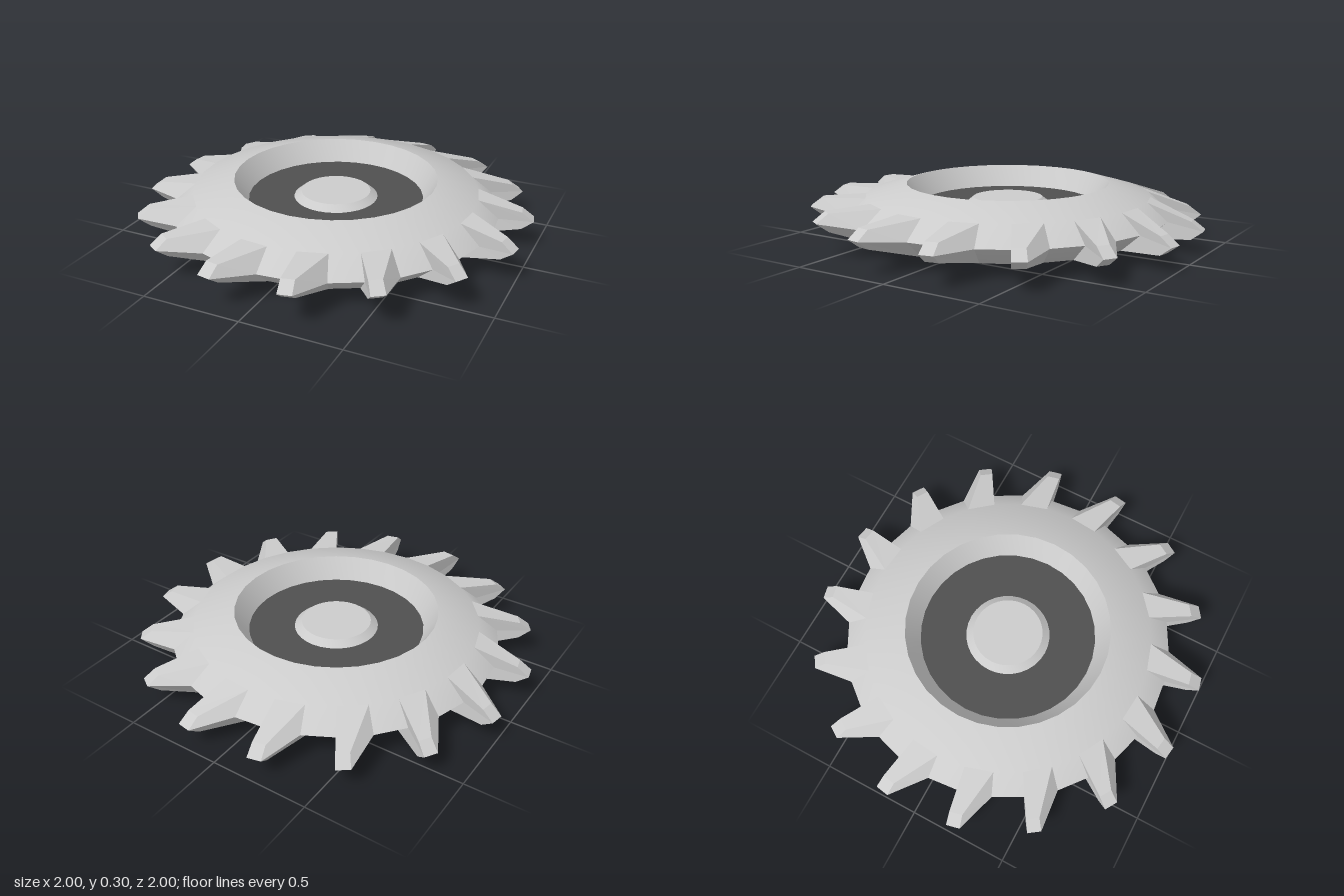
import * as THREE from 'three';
import { toCreasedNormals } from 'three/addons/utils/BufferGeometryUtils.js';

const SEGMENTS = 32;
const STEP = (Math.PI * 2) / SEGMENTS;
const MID = 0.15; // height of the middle plane

const polar = (radius, angle, y) => [radius * Math.cos(angle), y, -radius * Math.sin(angle)];

function lathe(name, profile, material) {
  const points = profile.map(([r, y]) => new THREE.Vector2(r, y));
  const geometry = toCreasedNormals(new THREE.LatheGeometry(points, SEGMENTS), 0.5);
  const mesh = new THREE.Mesh(geometry, material);
  mesh.name = name;
  return mesh;
}

// One tooth: a triangular root on the rim, lofted to a smaller tip that leans sideways
function toothGeometry(start) {
  const deg = Math.PI / 180;
  const lo = start - 0.5 * deg;
  const hi = start + 3.4 * deg;
  // The ring of tips is tilted slightly, higher at the front
  const tipY = MID + 0.03 * -Math.sin(start) + 0.012 * Math.cos(start);
  const root = (a) => [polar(0.73, a, 0.24), polar(0.835, a, MID), polar(0.73, a, 0.06)];
  const tip = (a) => [polar(0.95, a, tipY + 0.045), polar(1.01, a, tipY), polar(0.95, a, tipY - 0.045)];

  // Loops run down the low-angle side and back up the high-angle side
  const inner = [...root(start), ...root(start + STEP).reverse()];
  const outer = [...tip(lo), ...tip(hi).reverse()];
  const positions = [];
  const quad = (a, b, c, d) => positions.push(...a, ...b, ...c, ...a, ...c, ...d);
  for (const i of [0, 1, 2, 3, 4, 5]) {
    if (i === 0 || i === 1 || i === 3 || i === 4) continue;
    const j = (i + 1) % 6;
    quad(inner[i], inner[j], outer[j], outer[i]); // bottom and top faces
  }
  // Side faces, fanned from the root edge so that they close against the rim
  for (const i of [0, 1, 3, 4]) quad(inner[i], inner[i + 1], outer[i + 1], outer[i]);
  // Bevelled end of the tip
  quad(outer[0], outer[1], outer[4], outer[5]);
  quad(outer[1], outer[2], outer[3], outer[4]);

  const geometry = new THREE.BufferGeometry();
  geometry.setAttribute('position', new THREE.Float32BufferAttribute(positions, 3));
  geometry.computeVertexNormals();
  return geometry;
}

export function createModel() {
  const group = new THREE.Group();
  group.name = 'toothedWheel';
  const grey = new THREE.MeshStandardMaterial({ color: 0xcccccc, side: THREE.DoubleSide });
  const dark = new THREE.MeshStandardMaterial({ color: 0x4f4f4f, side: THREE.DoubleSide });
  const flat = new THREE.MeshStandardMaterial({ color: 0xcccccc, side: THREE.DoubleSide, flatShading: true });

  // Outer ring with sloping recess walls on both faces
  group.add(lathe('rim', [
    [0.45, 0.11], [0.52, 0], [0.73, 0.06], [0.835, MID],
    [0.73, 0.24], [0.52, 0.3], [0.45, 0.19],
  ], grey));

  // Dark recessed web and raised hub, on both faces
  group.add(lathe('lowerWeb', [[0.215, 0.11], [0.45, 0.11]], dark));
  group.add(lathe('upperWeb', [[0.45, 0.19], [0.215, 0.19]], dark));
  group.add(lathe('lowerHub', [[0, 0.08], [0.178, 0.08], [0.215, 0.11]], grey));
  group.add(lathe('upperHub', [[0.215, 0.19], [0.178, 0.22], [0, 0.22]], grey));

  // Teeth on every second segment of the rim
  const teeth = new THREE.Group();
  teeth.name = 'teeth';
  for (let i = 1; i < SEGMENTS; i += 2) {
    const tooth = new THREE.Mesh(toothGeometry(i * STEP), flat);
    tooth.name = 'tooth';
    teeth.add(tooth);
  }
  group.add(teeth);
  return group;
}
